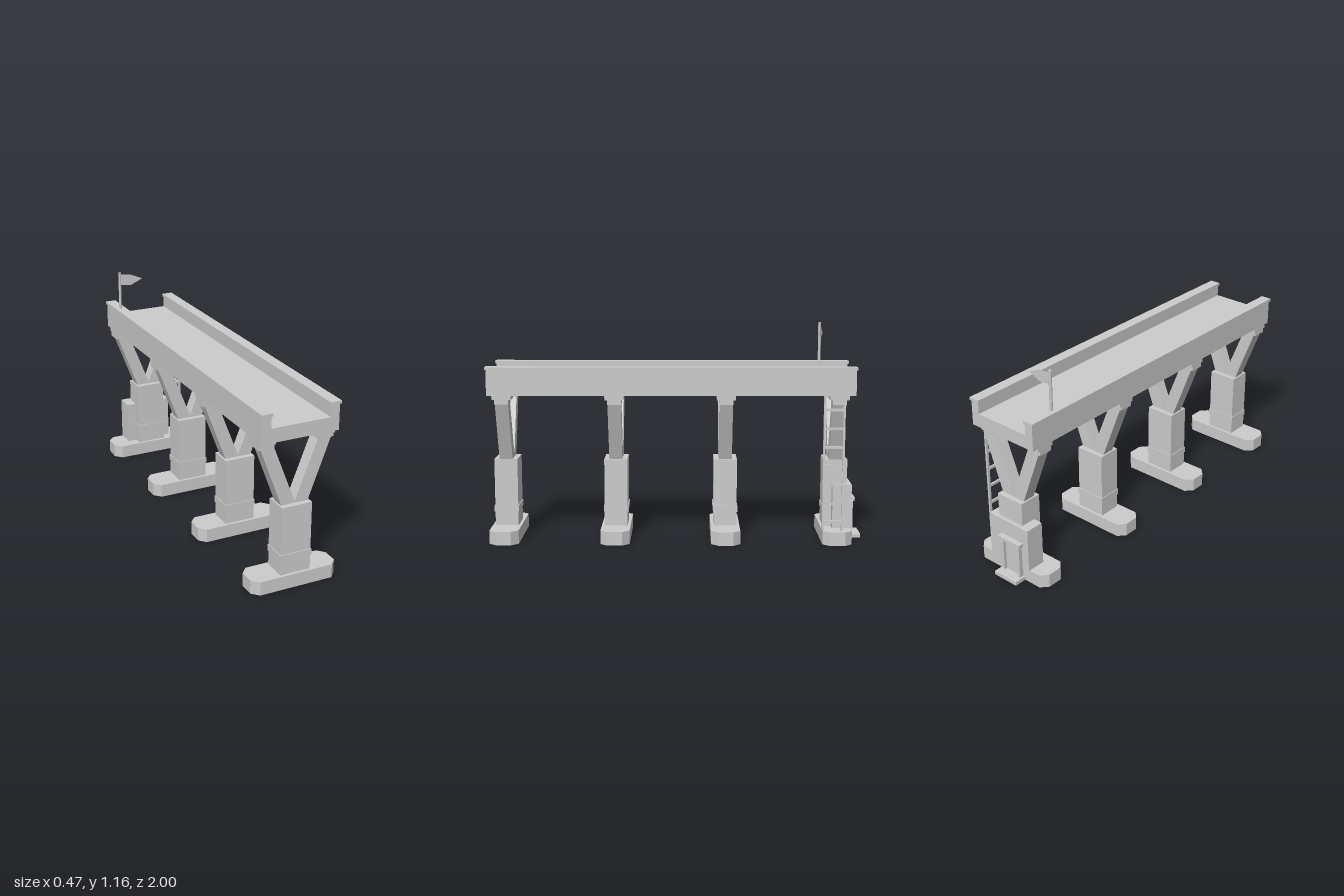
import * as THREE from 'three';

const grey = new THREE.MeshStandardMaterial({ color: 0xcccccc, side: THREE.DoubleSide });
grey.name = 'concreteGrey';

function add(parent, name, geometry) {
  const mesh = new THREE.Mesh(geometry, grey);
  mesh.name = name;
  parent.add(mesh);
  return mesh;
}

// Box given by its extents
function box(parent, name, x0, x1, y0, y1, z0, z1) {
  const g = new THREE.BoxGeometry(x1 - x0, y1 - y0, z1 - z0);
  g.translate((x0 + x1) / 2, (y0 + y1) / 2, (z0 + z1) / 2);
  return add(parent, name, g);
}

// Outline in x and y, extruded along z
function prism(points, z0, z1) {
  const shape = new THREE.Shape(points.map(([x, y]) => new THREE.Vector2(x, y)));
  const g = new THREE.ExtrudeGeometry(shape, { depth: z1 - z0, bevelEnabled: false });
  return g.translate(0, 0, z0);
}

// Removes the lowest faces, leaving a shell open underneath
function openBottom(geometry) {
  const g = geometry.index ? geometry.toNonIndexed() : geometry;
  g.computeBoundingBox();
  const low = g.boundingBox.min.y + 1e-4;
  const p = g.attributes.position;
  const kept = [];
  for (let i = 0; i < p.count; i += 3) {
    const flat = [0, 1, 2].every((k) => p.getY(i + k) < low);
    if (!flat) kept.push(p.getX(i), p.getY(i), p.getZ(i),
      p.getX(i + 1), p.getY(i + 1), p.getZ(i + 1),
      p.getX(i + 2), p.getY(i + 2), p.getZ(i + 2));
  }
  const out = new THREE.BufferGeometry();
  out.setAttribute('position', new THREE.Float32BufferAttribute(kept, 3));
  out.computeVertexNormals();
  return out;
}

function makePier(z) {
  const pier = new THREE.Group();
  pier.name = 'pier';
  pier.position.z = z;

  // Footing with chamfered corners
  const outline = [[0.235, 0.04], [0.2, 0.078], [-0.2, 0.078], [-0.235, 0.04],
    [-0.235, -0.04], [-0.2, -0.078], [0.2, -0.078], [0.235, -0.04]];
  add(pier, 'footing', openBottom(prism(outline, 0, 0.073).rotateX(-Math.PI / 2)));

  // Column with a raised band
  box(pier, 'column', -0.082, 0.082, 0.073, 0.437, -0.062, 0.062);
  box(pier, 'columnBand', -0.086, 0.086, 0.15, 0.183, -0.066, 0.066);

  // V-shaped arms and their bearing blocks
  const arms = [[-0.07, 0.43], [0.07, 0.43], [0.19, 0.75], [0.118, 0.75],
    [0, 0.447], [-0.118, 0.75], [-0.19, 0.75]];
  add(pier, 'arms', prism(arms, -0.035, 0.035));
  for (const s of [-1, 1]) {
    const x0 = Math.min(s * 0.117, s * 0.202), x1 = Math.max(s * 0.117, s * 0.202);
    box(pier, 'bearingTop', x0, x1, 0.772, 0.795, -0.05, 0.05);
    box(pier, 'bearingBottom', x0, x1, 0.748, 0.772, -0.037, 0.037);
  }
  return pier;
}

export function createModel() {
  const model = new THREE.Group();
  model.name = 'elevatedBridge';

  // Deck shell with a parapet on each side
  const half = [[0.205, 0.795], [0.205, 0.93], [0.158, 0.93], [0.158, 0.868]];
  const profile = [...half, ...half.map(([x, y]) => [-x, y]).reverse()];
  add(model, 'deck', openBottom(prism(profile, -0.94, 0.994)));
  for (const s of [-1, 1]) {
    box(model, 'parapetCap', s * 0.182 - 0.03, s * 0.182 + 0.03, 0.93, 0.945, -0.945, 1);
  }

  for (const z of [0.917, 0.326, -0.263, -0.855]) model.add(makePier(z));

  // Service booth on the rear pier
  const booth = new THREE.Group();
  booth.name = 'serviceBooth';
  model.add(booth);
  box(booth, 'boothBody', -0.135, 0.132, 0.073, 0.31, -0.937, -0.835);
  box(booth, 'door', -0.07, 0.02, 0.02, 0.205, -0.942, -0.934);
  for (const x of [-0.08, 0.03]) {
    box(booth, 'doorPost', x - 0.009, x + 0.009, 0.02, 0.205, -0.958, -0.934);
  }
  box(booth, 'lintel', -0.1, 0.05, 0.203, 0.223, -0.966, -0.934);
  const step = box(booth, 'doorStep', -0.1, 0.05, 0, 0.021, -1, -0.932);
  step.geometry = openBottom(step.geometry);
  box(booth, 'doorHandle', -0.06, -0.05, 0.105, 0.125, -0.95, -0.94);

  // Ladder
  const ladder = new THREE.Group();
  ladder.name = 'ladder';
  model.add(ladder);
  for (const z of [-0.78, -0.882]) {
    box(ladder, 'ladderRail', 0.178, 0.19, 0.073, 0.797, z - 0.006, z + 0.006);
  }
  for (let i = 0; i < 7; i++) {
    const y = 0.12 + i * 0.1;
    box(ladder, 'ladderRung', 0.179, 0.189, y - 0.007, y + 0.007, -0.88, -0.782);
  }

  // Flag on the right parapet
  const pole = new THREE.CylinderGeometry(0.008, 0.008, 0.217, 8);
  add(model, 'flagPole', pole.translate(-0.182, 1.0485, -0.785));
  const flag = [[-0.178, 1.083], [-0.115, 1.075], [-0.043, 1.107],
    [-0.115, 1.138], [-0.178, 1.145]].map(([x, y]) => new THREE.Vector2(x, y));
  add(model, 'flag', new THREE.ShapeGeometry(new THREE.Shape(flag)).translate(0, 0, -0.785));

  return model;
}
